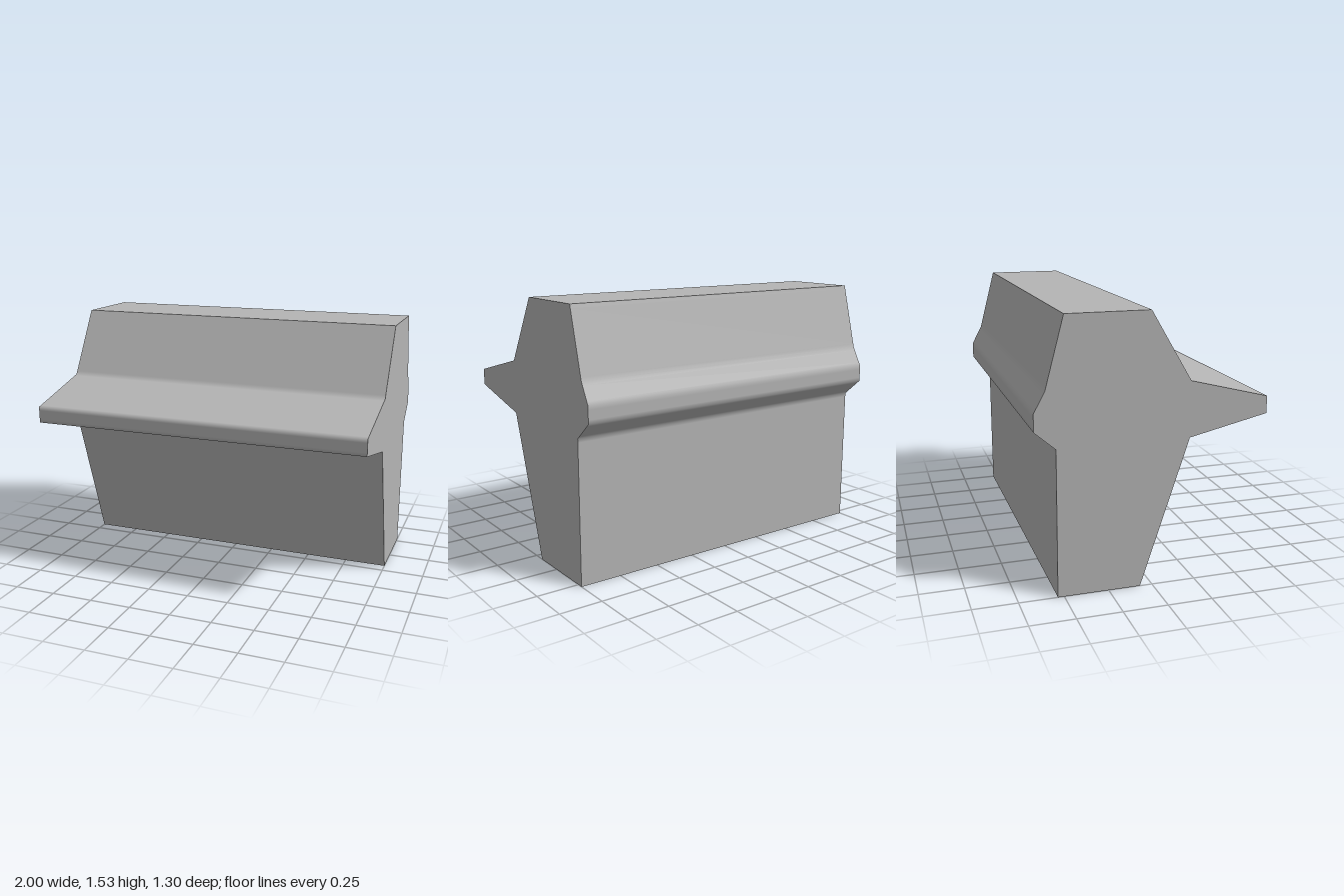
import * as THREE from 'three';

// Cross-section as [z, y, soft corner], clockwise from the top front edge
const PROFILE = [
  [-0.025, 1.527, false], [0.203, 1.142, true], [0.65, 1.027, true],
  [0.65, 0.93, true], [0.203, 0.83, true], [-0.07, 0, false],
  [-0.535, 0, false], [-0.535, 0.83, true], [-0.65, 0.93, true],
  [-0.65, 1.027, true], [-0.588, 1.142, true], [-0.487, 1.527, false],
];
const HALF = 1;      // half length along x
const BLEND = 0.022; // width over which soft corners blend

// Long walls: each profile edge is a strip, with normals blended only near soft corners
function wallGeometry() {
  const pts = PROFILE.map(([z, y]) => new THREE.Vector2(z, y));
  const n = pts.length;
  const normals = pts.map((p, i) => {
    const d = pts[(i + 1) % n].clone().sub(p).normalize();
    return new THREE.Vector2(-d.y, d.x);
  });
  const cornerNormal = (i, edge) => PROFILE[i][2]
    ? normals[i].clone().add(normals[(i + n - 1) % n]).normalize()
    : normals[edge];
  const pos = [], nor = [], index = [];
  for (let i = 0; i < n; i++) {
    const j = (i + 1) % n, a = pts[i], b = pts[j];
    const t = BLEND / a.distanceTo(b);
    const rows = [
      [0, cornerNormal(i, i)], [t, normals[i]],
      [1 - t, normals[i]], [1, cornerNormal(j, i)],
    ];
    rows.forEach(([s, m], r) => {
      const p = a.clone().lerp(b, s);
      const k = pos.length / 3;
      pos.push(-HALF, p.y, p.x, HALF, p.y, p.x);
      nor.push(0, m.y, m.x, 0, m.y, m.x);
      if (r < 3) index.push(k, k + 2, k + 3, k, k + 3, k + 1);
    });
  }
  const g = new THREE.BufferGeometry();
  g.setAttribute('position', new THREE.Float32BufferAttribute(pos, 3));
  g.setAttribute('normal', new THREE.Float32BufferAttribute(nor, 3));
  g.setIndex(index);
  return g;
}

// Flat end cap on the given side (+1 left, -1 right)
function capGeometry(side) {
  const shape = new THREE.Shape(PROFILE.map(([z, y]) => new THREE.Vector2(-side * z, y)));
  return new THREE.ShapeGeometry(shape).rotateY(side * Math.PI / 2).translate(side * HALF, 0, 0);
}

export function createModel() {
  const group = new THREE.Group();
  group.name = 'ledgeBlock';
  const grey = new THREE.MeshStandardMaterial({ color: 0xb4b4b4 });
  grey.name = 'grey';
  const add = (name, geometry) => {
    const mesh = new THREE.Mesh(geometry, grey);
    mesh.name = name;
    group.add(mesh);
  };
  add('longWalls', wallGeometry());
  add('leftEnd', capGeometry(1));
  add('rightEnd', capGeometry(-1));
  return group;
}
